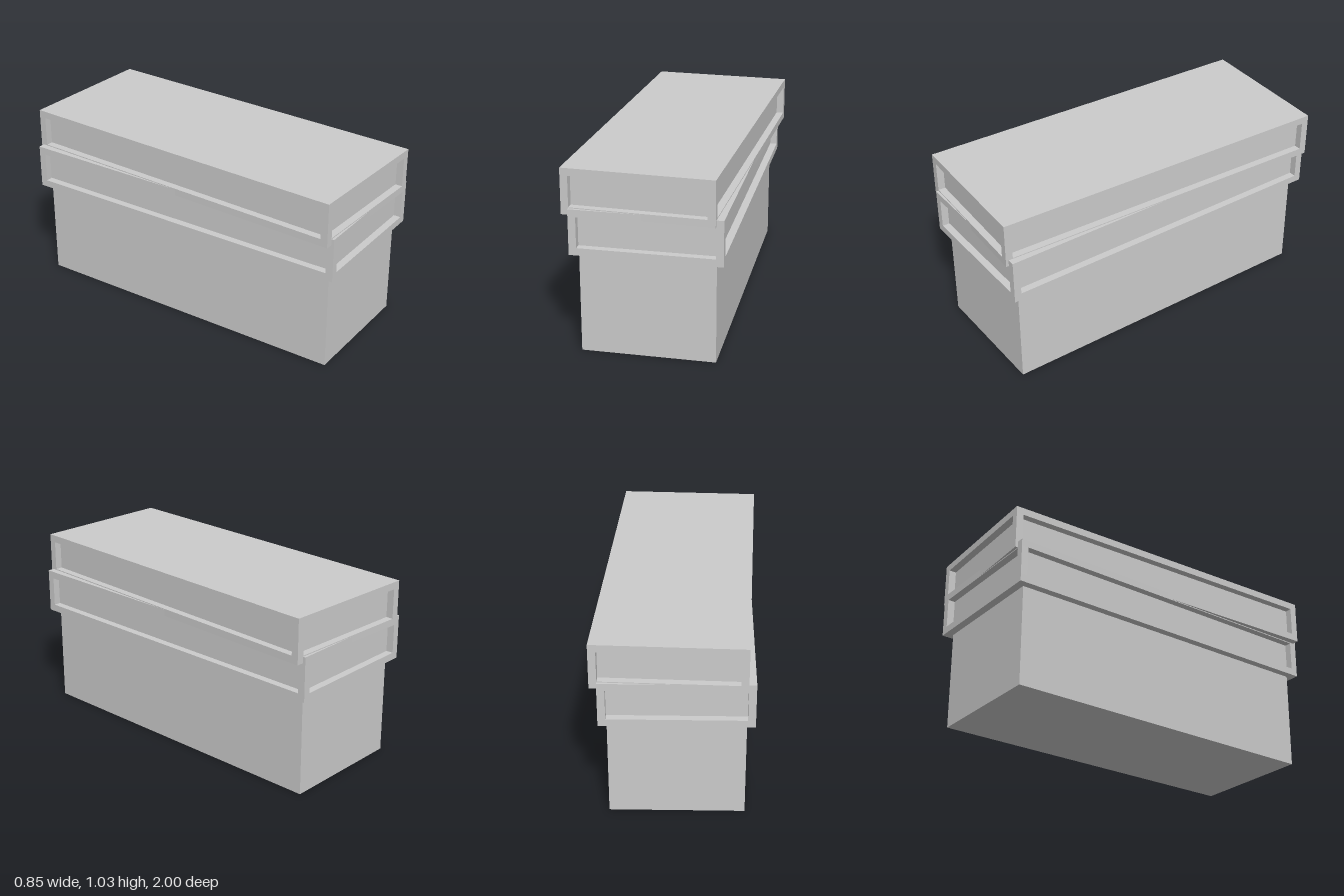
import * as THREE from 'three';

const material = new THREE.MeshStandardMaterial({ color: 0xcccccc, flatShading: true });
const HALF_W = 0.405, HALF_D = 0.992; // half size of a tier
const RIM = 0.041;                    // rim width and panel recess depth
const TWIST = 0.0202;                 // slight turn, opposite for each tier

// Box given by its half width, half depth and vertical range
function block(name, hw, hd, y0, y1, x = 0, z = 0) {
  const mesh = new THREE.Mesh(new THREE.BoxGeometry(hw * 2, y1 - y0, hd * 2), material);
  mesh.position.set(x, (y0 + y1) / 2, z);
  mesh.name = name;
  return mesh;
}

// Tier with a recessed panel on each of its four sides
function tier(name, y0, y1, twist) {
  const group = new THREE.Group();
  group.name = name;
  group.add(block('bottomRim', HALF_W, HALF_D, y0, y0 + RIM));
  group.add(block('topRim', HALF_W, HALF_D, y1 - RIM, y1));
  group.add(block('recessedPanels', HALF_W - RIM, HALF_D - RIM, y0 + RIM, y1 - RIM));
  for (const sx of [-1, 1]) {
    for (const sz of [-1, 1]) {
      group.add(block('cornerPost', RIM / 2, RIM / 2, y0 + RIM, y1 - RIM,
        sx * (HALF_W - RIM / 2), sz * (HALF_D - RIM / 2)));
    }
  }
  group.rotation.y = twist;
  return group;
}

export function createModel() {
  const model = new THREE.Group();
  model.name = 'steppedBlock';

  // Plain base, turned with the lower tier
  const base = block('base', 0.362, 0.948, 0, 0.562);
  base.rotation.y = TWIST;
  model.add(base);

  // Two overlapping tiers turned in opposite directions
  model.add(tier('lowerTier', 0.562, 0.813, TWIST));
  model.add(tier('upperTier', 0.777, 1.028, -TWIST));
  return model;
}
